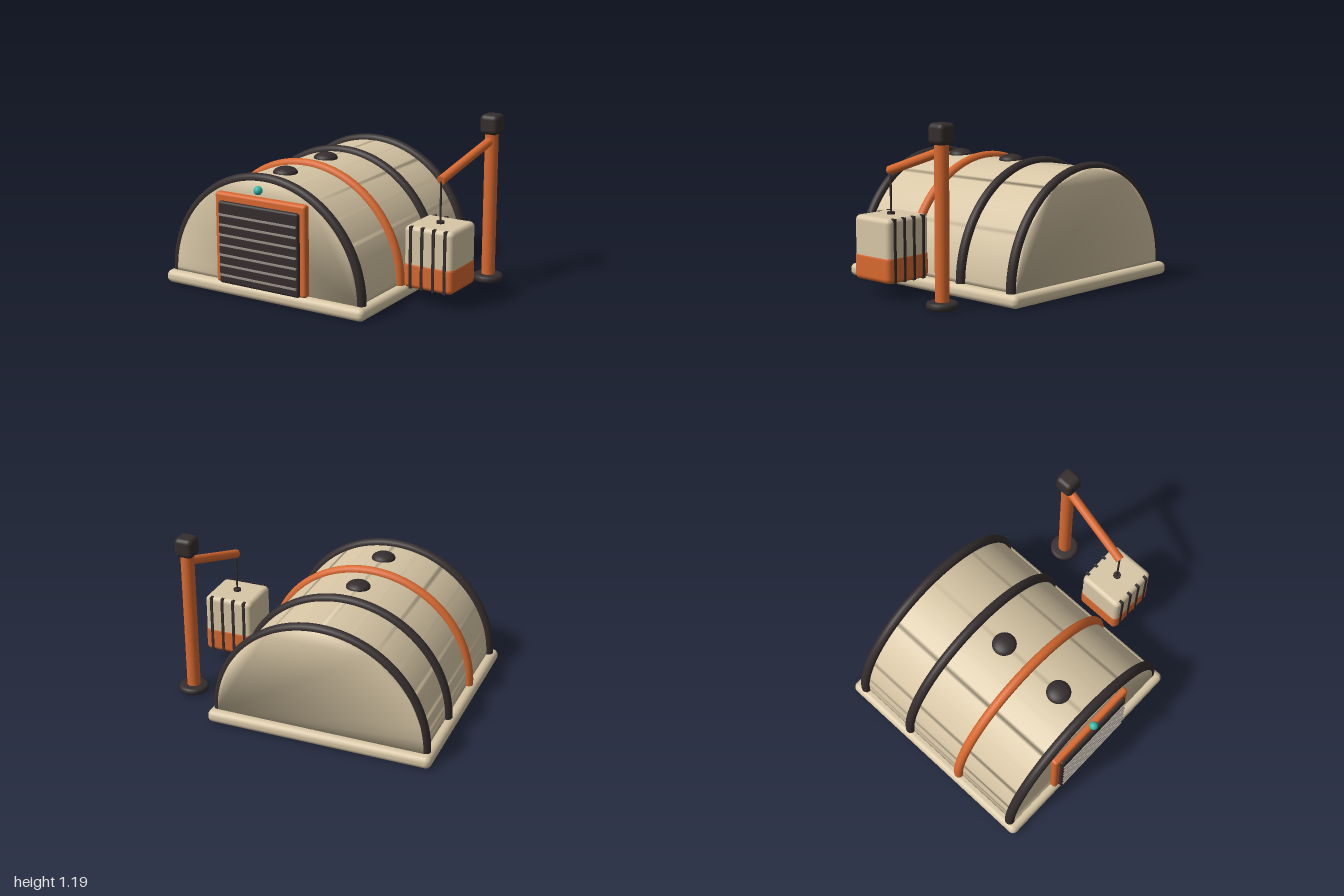
import * as THREE from 'three';
import { mergeVertices } from 'three/addons/utils/BufferGeometryUtils.js';
import { RoundedBoxGeometry } from 'three/addons/geometries/RoundedBoxGeometry.js';

const paint = (name, color) => Object.assign(new THREE.MeshStandardMaterial({ color }), { name });

export function createModel() {
  const sand = paint('sand', 0xd8c7a6);
  const orange = paint('orange', 0xd9692f);
  const charcoal = paint('charcoal', 0x352d2d);
  const slatGrey = paint('slatGrey', 0x958e85);
  const teal = paint('teal', 0x2fbcab);

  const model = new THREE.Group();
  model.name = 'hangarWithCrane';

  const add = (parent, name, geometry, material, x = 0, y = 0, z = 0) => {
    const mesh = new THREE.Mesh(geometry, material);
    mesh.name = name;
    mesh.position.set(x, y, z);
    parent.add(mesh);
    return mesh;
  };
  const group = (name) => {
    const g = new THREE.Group();
    g.name = name;
    model.add(g);
    return g;
  };
  const roundBox = (w, h, d, r) => new RoundedBoxGeometry(w, h, d, 4, r);

  // Cylinder running between two points
  const rod = (parent, name, from, to, radius, material) => {
    const dir = to.clone().sub(from);
    const mesh = add(parent, name, new THREE.CylinderGeometry(radius, radius, dir.length(), 24), material);
    mesh.position.copy(from).lerp(to, 0.5);
    mesh.quaternion.setFromUnitVectors(new THREE.Vector3(0, 1, 0), dir.normalize());
  };

  // Hangar: slab, half-round shell and hoops
  const hangar = group('hangar');
  hangar.position.x = -0.197;
  add(hangar, 'baseSlab', roundBox(1.606, 0.09, 1.61, 0.04), sand, 0, 0.045, -0.015);

  const arch = new THREE.Shape().absarc(0, 0, 0.74, 0, Math.PI, false);
  let shell = new THREE.ExtrudeGeometry(arch, { depth: 1.5, bevelEnabled: false, curveSegments: 48 });
  // Weld the shell so its shading runs softly over the end walls
  shell.deleteAttribute('uv');
  shell.deleteAttribute('normal');
  shell = mergeVertices(shell, 1e-4);
  shell.clearGroups();
  shell.computeVertexNormals();
  add(hangar, 'shell', shell, sand, 0, 0.09, -0.765);

  const hoop = new THREE.TorusGeometry(0.745, 0.035, 14, 64, Math.PI);
  for (const [z, material] of [[0.703, charcoal], [0.205, orange], [-0.277, charcoal], [-0.73, charcoal]]) {
    add(hangar, 'hoop', hoop, material, 0, 0.09, z);
  }

  // Roof vents
  for (const z of [0.465, -0.037]) {
    add(hangar, 'roofVent', new THREE.SphereGeometry(0.085, 32, 16), charcoal, 0, 0.828, z).scale.y = 0.5;
  }

  // Shutter door with slats, and the lamp above it
  const door = new THREE.Group();
  door.name = 'door';
  hangar.add(door);
  add(door, 'doorFrame', roundBox(0.726, 0.63, 0.08, 0.02), orange, 0, 0.4, 0.74);
  add(door, 'doorPanel', roundBox(0.645, 0.575, 0.08, 0.018), charcoal, 0, 0.374, 0.763);
  const slat = new THREE.BoxGeometry(0.62, 0.013, 0.02);
  for (let i = 0; i < 7; i++) add(door, 'slat', slat, slatGrey, 0, 0.149 + i * 0.0703, 0.804);
  add(hangar, 'lamp', new THREE.SphereGeometry(0.03, 24, 16), teal, 0, 0.772, 0.785);

  // Crane: foot, post, head and jib
  const crane = group('crane');
  const foot = [[0, 0], [0.085, 0], [0.099, 0.006], [0.105, 0.018], [0.105, 0.032], [0.099, 0.044], [0.085, 0.05], [0, 0.05]];
  add(crane, 'foot', new THREE.LatheGeometry(foot.map(([r, y]) => new THREE.Vector2(r, y)), 40), charcoal, 0.89, 0, -0.449);
  add(crane, 'post', new THREE.CylinderGeometry(0.047, 0.047, 1.06, 32), orange, 0.89, 0.56, -0.449);
  add(crane, 'head', roundBox(0.137, 0.14, 0.137, 0.035), charcoal, 0.89, 1.12, -0.449);
  const hookPoint = new THREE.Vector3(0.805, 0.832, 0.125);
  rod(crane, 'jib', new THREE.Vector3(0.89, 1.01, -0.449), hookPoint, 0.031, orange);
  rod(crane, 'cable', new THREE.Vector3(0.805, 0.54, 0.12), new THREE.Vector3(0.805, 0.825, 0.12), 0.007, charcoal);
  add(crane, 'hookPlate', new THREE.CylinderGeometry(0.027, 0.027, 0.025, 24), charcoal, 0.805, 0.543, 0.12);

  // Hanging crate with an orange lower half and dark bands front and back
  const crate = group('crate');
  crate.position.set(0.803, 0, 0.118);
  add(crate, 'crateBody', roundBox(0.364, 0.425, 0.34, 0.035), sand, 0, 0.3275, 0);
  add(crate, 'crateLowerHalf', roundBox(0.37, 0.19, 0.346, 0.035), orange, 0, 0.203, 0);
  const band = new THREE.BoxGeometry(0.02, 0.428, 0.354);
  for (let i = 0; i < 4; i++) add(crate, 'crateBand', band, charcoal, -0.1275 + i * 0.085, 0.325, 0);

  return model;
}
